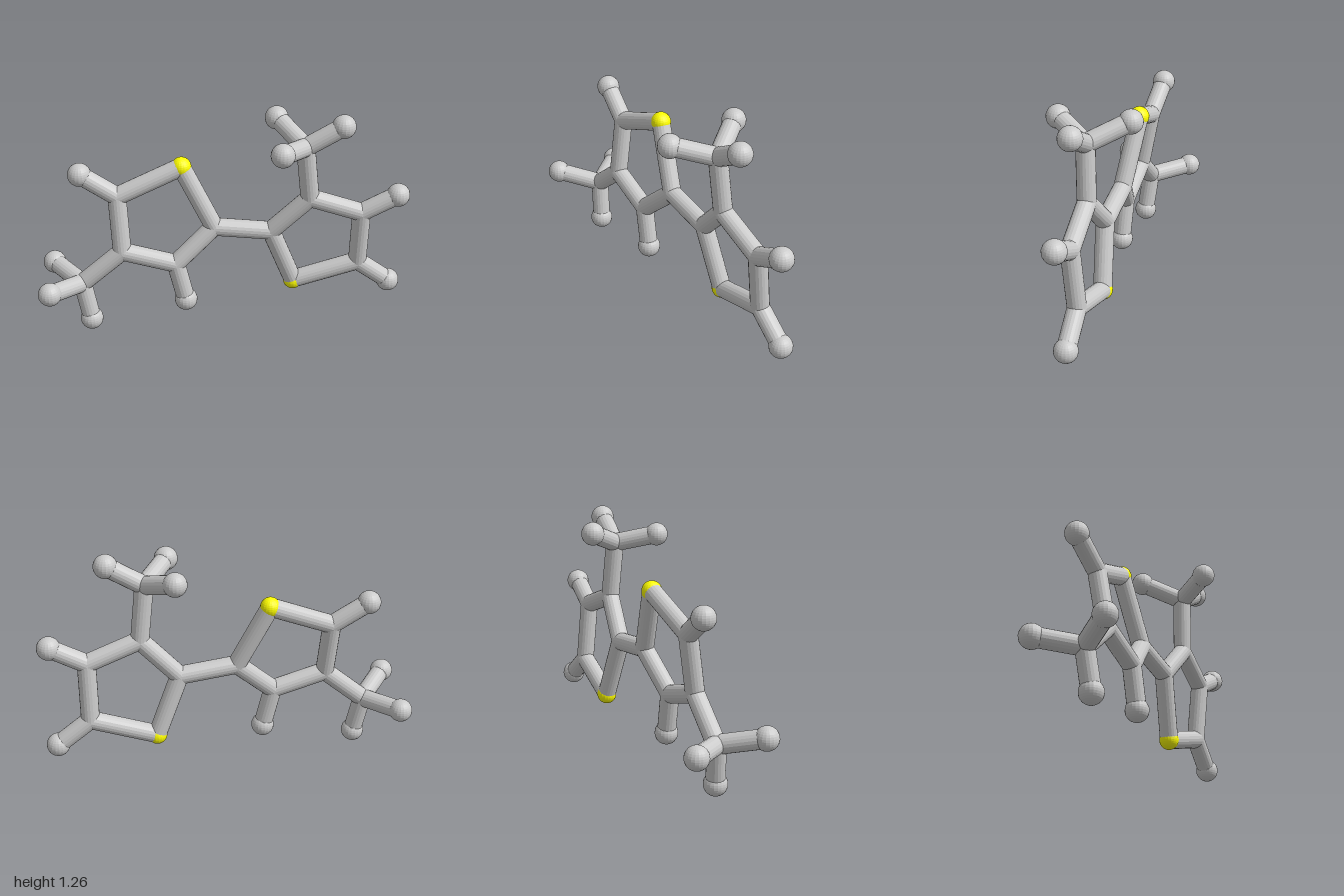
import * as THREE from 'three';

const BOND_RADIUS = 0.05;
// radius of each kind of atom ball
const RADIUS = { carbon: 0.05, sulfur: 0.054, hydrogen: 0.063 };

// name: [kind, x, y, z]
const ATOMS = {
  // right-hand ring (-x) with its methyl branch
  s1: ['sulfur', -0.22, 0.945, -0.08],
  a2: ['carbon', -0.05, 0.595, -0.04],
  a3: ['carbon', -0.262, 0.395, 0.005],
  a4: ['carbon', -0.55, 0.48, 0.0],
  a5: ['carbon', -0.565, 0.795, -0.05],
  a6: ['carbon', -0.775, 0.285, 0.0],
  h1: ['hydrogen', -0.757, 0.92, -0.07],
  h2: ['hydrogen', -0.21, 0.165, 0.012],
  h3: ['hydrogen', -0.735, 0.064, 0.02],
  h4: ['hydrogen', -0.937, 0.34, 0.185],
  h5: ['hydrogen', -0.937, 0.303, -0.195],
  // left-hand ring (+x) with its methyl branch
  s2: ['sulfur', 0.39, 0.22, -0.068],
  b2: ['carbon', 0.258, 0.56, -0.04],
  b3: ['carbon', 0.46, 0.775, -0.01],
  b4: ['carbon', 0.745, 0.67, -0.02],
  b5: ['carbon', 0.745, 0.34, -0.05],
  b6: ['carbon', 0.425, 1.085, 0.005],
  h6: ['hydrogen', 0.935, 0.775, -0.012],
  h7: ['hydrogen', 0.924, 0.206, -0.053],
  h8: ['hydrogen', 0.617, 1.203, 0.015],
  h9: ['hydrogen', 0.286, 1.14, 0.195],
  h10: ['hydrogen', 0.29, 1.168, -0.185],
};

// each chain is a run of bonded atoms
const CHAINS = [
  'a2 s1 a5 a4 a3 a2', 'b2 s2 b5 b4 b3 b2', 'a2 b2', // rings and link
  'a5 h1', 'a3 h2', 'b4 h6', 'b5 h7',                // ring hydrogens
  'a4 a6 h3', 'a6 h4', 'a6 h5',                      // methyl branches
  'b3 b6 h8', 'b6 h9', 'b6 h10',
];

export function createModel() {
  const model = new THREE.Group();
  model.name = 'molecule';
  const grey = new THREE.MeshStandardMaterial({ color: 0xcccccc, flatShading: true });
  const yellow = new THREE.MeshStandardMaterial({ color: 0xffff00, flatShading: true });
  const position = (id) => new THREE.Vector3(...ATOMS[id].slice(1));

  // atom balls
  for (const [id, [kind]] of Object.entries(ATOMS)) {
    const ball = new THREE.Mesh(
      new THREE.SphereGeometry(RADIUS[kind], 20, 16),
      kind === 'sulfur' ? yellow : grey);
    ball.name = `${kind}Atom`;
    ball.position.copy(position(id));
    model.add(ball);
  }

  // bond rods, stretched from one atom centre to the next
  const up = new THREE.Vector3(0, 1, 0);
  for (const chain of CHAINS) {
    const ids = chain.split(' ');
    for (let i = 1; i < ids.length; i++) {
      const from = position(ids[i - 1]);
      const to = position(ids[i]);
      const rod = new THREE.Mesh(
        new THREE.CylinderGeometry(BOND_RADIUS, BOND_RADIUS, from.distanceTo(to), 20, 1, true),
        grey);
      rod.name = 'bond';
      rod.position.copy(from).lerp(to, 0.5);
      rod.quaternion.setFromUnitVectors(up, to.sub(from).normalize());
      model.add(rod);
    }
  }
  return model;
}
